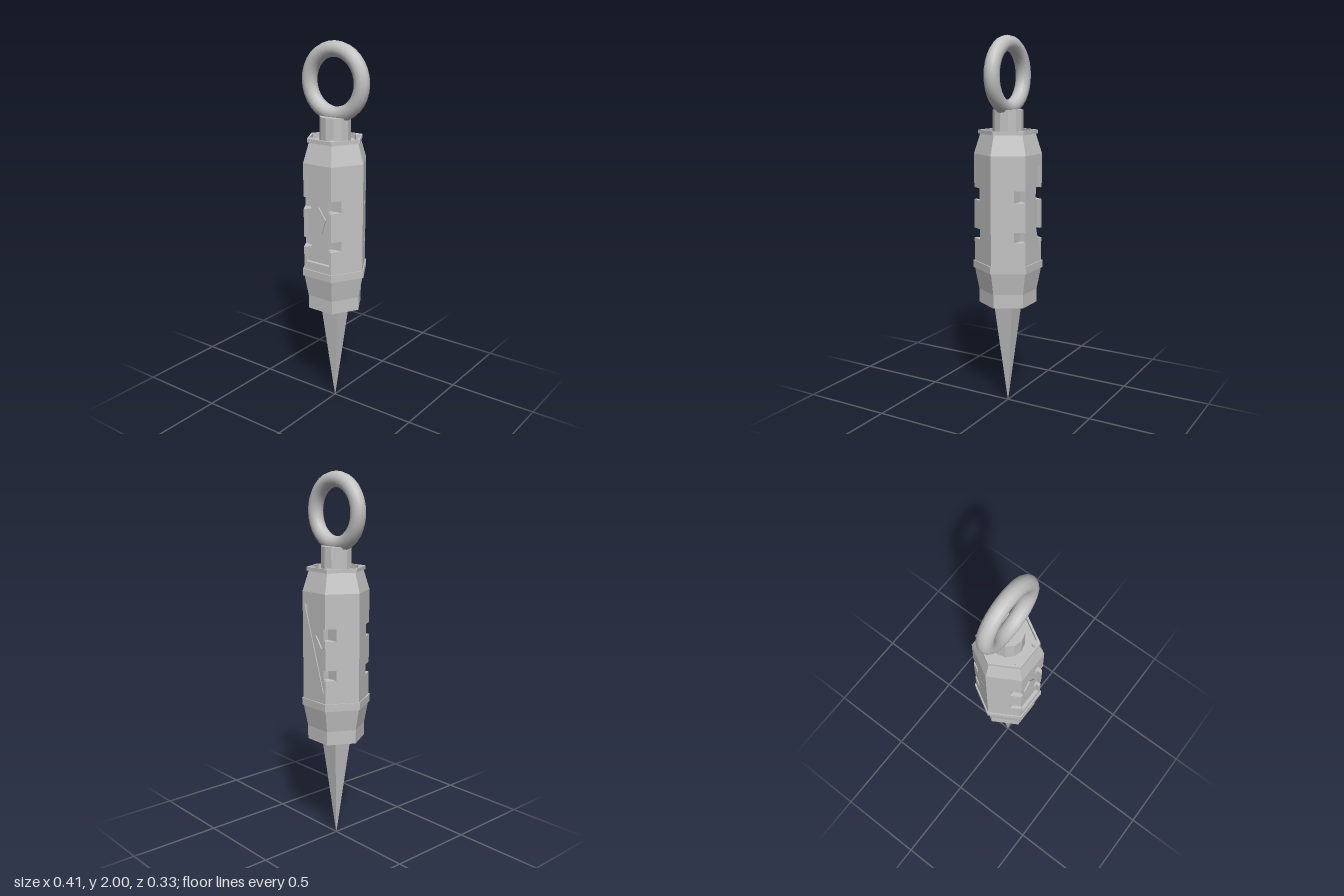
import * as THREE from 'three';

const grey = new THREE.MeshStandardMaterial({ color: 0xc2c2c2 });
grey.name = 'plain grey';

// Faceted normals for the hard-edged parts
function flat(geometry) {
  const g = geometry.index ? geometry.toNonIndexed() : geometry;
  g.computeVertexNormals();
  return g;
}

// Six-sided solid of revolution with flats facing front and back
function hexLathe(profile) {
  const points = profile.map(([r, y]) => new THREE.Vector2(r, y));
  return flat(new THREE.LatheGeometry(points, 6).rotateY(Math.PI / 6));
}

function shapeOf(points) {
  return new THREE.Shape(points.map(([x, y]) => new THREE.Vector2(x, y)));
}

// Horizontal slice of the casing, mirrored from one quarter outline
function slice(quarter, y0, y1) {
  const half = [...quarter, ...quarter.slice().reverse().map(([x, z]) => [-x, z])];
  // drop the doubled side corner when mirroring front to back
  const back = half.slice(1, -1).reverse().map(([x, z]) => [x, -z]);
  const g = new THREE.ExtrudeGeometry(shapeOf([...half, ...back]), { depth: y1 - y0, bevelEnabled: false });
  return flat(g.rotateX(-Math.PI / 2).translate(0, y0, 0));
}

export function createModel() {
  const model = new THREE.Group();
  model.name = 'spikedPendant';
  const add = (name, geometry) => {
    const mesh = new THREE.Mesh(geometry, grey);
    mesh.name = name;
    model.add(mesh);
    return mesh;
  };

  // Spike: square pyramid pointing down
  add('spike', flat(new THREE.CylinderGeometry(0.083, 0.001, 0.6, 4).rotateY(Math.PI / 4).translate(0, 0.3, 0)));

  // Base with hollow underside, flare and collar
  add('base', hexLathe([
    [0, 0.605], [0.132, 0.605], [0.132, 0.575], [0.157, 0.575], [0.157, 0.65],
    [0.18, 0.77], [0.188, 0.77], [0.188, 0.81], [0, 0.81],
  ]));

  // Casing: stacked slices that form the panel recess and the clip notches
  const full = [[0.18, 0], [0.09, 0.156]];
  const recess = [...full, [0.075, 0.156], [0.075, 0.137]];
  const notch = [[0.18, 0], [0.119, 0.105], [0.055, 0.105], [0.055, 0.137]];
  [
    [full, 0.81, 0.855], [recess, 0.855, 0.935], [notch, 0.935, 0.99],
    [recess, 0.99, 1.145], [notch, 1.145, 1.21], [recess, 1.21, 1.325], [full, 1.325, 1.39],
  ].forEach(([quarter, y0, y1]) => add('casing', slice(quarter, y0, y1)));

  // Slanted plate covering half of the back recess
  const cover = shapeOf([[-0.075, 0.855], [0.09, 0.855], [0.09, 1.325], [0.075, 1.325]]);
  add('backCover', new THREE.ExtrudeGeometry(cover, { depth: 0.005, bevelEnabled: false }).translate(0, 0, -0.156));

  // Pointed gem plates, front and back
  const gem = shapeOf([[-0.02, 1.02], [0.02, 1.02], [0.044, 1.1], [0, 1.163], [-0.044, 1.1]]);
  for (const turn of [0, Math.PI]) {
    const g = new THREE.ExtrudeGeometry(gem, { depth: 0.009, bevelEnabled: false });
    add('gemPlate', g.translate(0, 0, 0.136).rotateY(turn));
  }

  // Shoulder, rim and sunken top
  add('shoulder', hexLathe([
    [0.18, 1.39], [0.147, 1.495], [0.157, 1.495], [0.157, 1.515],
    [0.145, 1.515], [0.145, 1.488], [0, 1.488],
  ]));

  // Bolts in the sunken top
  for (const x of [-0.065, 0.065]) {
    for (const z of [-0.112, 0.112]) {
      add('bolt', flat(new THREE.CylinderGeometry(0.017, 0.017, 0.03, 6).translate(x, 1.5, z)));
    }
  }

  // Stem and hanging ring
  add('stem', flat(new THREE.CylinderGeometry(0.082, 0.082, 0.14, 12).translate(0, 1.55, 0)));
  add('ring', new THREE.TorusGeometry(0.165, 0.041, 12, 32).translate(0, 1.794, 0));

  return model;
}
